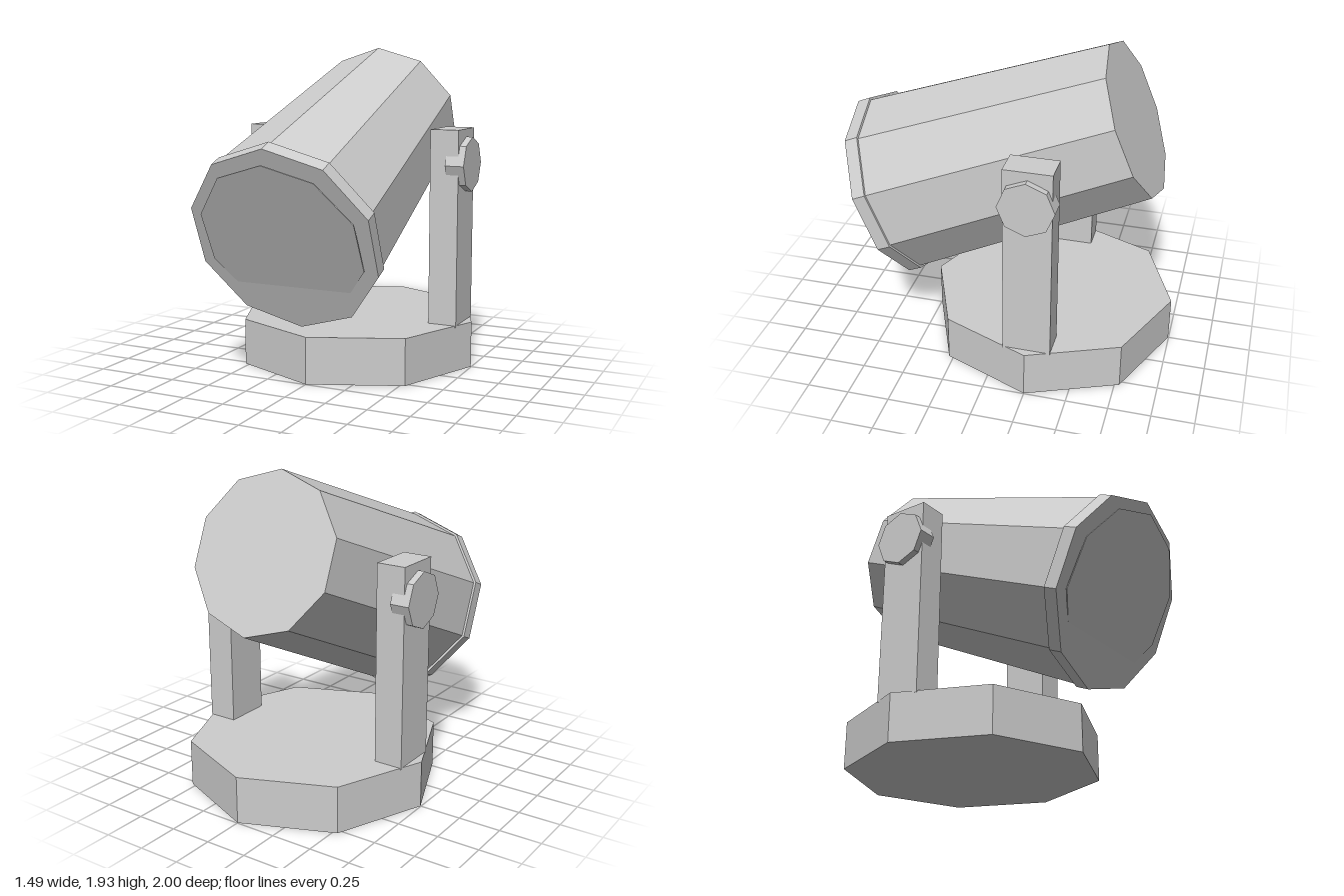
import * as THREE from 'three';

const grey = new THREE.MeshStandardMaterial({ color: 0xcccccc, flatShading: true });
grey.name = 'lightGrey';

function part(name, geometry, x = 0, y = 0, z = 0) {
  const mesh = new THREE.Mesh(geometry, grey);
  mesh.name = name;
  mesh.position.set(x, y, z);
  return mesh;
}

// Faceted drum lying along z, from z = back to z = front
function drum(rFront, rBack, back, front) {
  return new THREE.CylinderGeometry(rFront, rBack, front - back, 10)
    .rotateX(Math.PI / 2)
    .translate(0, 0, (front + back) / 2);
}

export function createModel() {
  const model = new THREE.Group();
  model.name = 'searchlight';
  const pivotZ = -0.25;

  // Octagonal foot
  model.add(part('base', new THREE.CylinderGeometry(0.747, 0.747, 0.28, 8), 0, 0.14, pivotZ));

  // Uprights with their clamp knobs
  for (const side of [1, -1]) {
    const name = side > 0 ? 'left' : 'right';
    model.add(part(name + 'Arm', new THREE.BoxGeometry(0.175, 1.18, 0.28), side * 0.6075, 0.86, pivotZ));
    const knob = new THREE.CylinderGeometry(0.163, 0.163, 0.115, 8).rotateZ(Math.PI / 2);
    model.add(part(name + 'Knob', knob, side * 0.6775, 1.24, pivotZ));
  }

  // Lamp housing, tilted down towards the front
  const lamp = new THREE.Group();
  lamp.name = 'lamp';
  lamp.position.set(0, 0.8775, 0.7625);
  lamp.rotation.x = THREE.MathUtils.degToRad(22.7);
  lamp.add(part('barrel', drum(0.554, 0.467, -1.604, -0.07)));
  lamp.add(part('rim', drum(0.568, 0.568, -0.083, 0)));
  model.add(lamp);

  // Thin lens, leaning slightly out of the rim at the top
  const lens = part('lens', drum(0.489, 0.489, -0.006, 0), 0, 0.877, 0.783);
  lens.rotation.x = THREE.MathUtils.degToRad(26.3);
  model.add(lens);

  return model;
}
